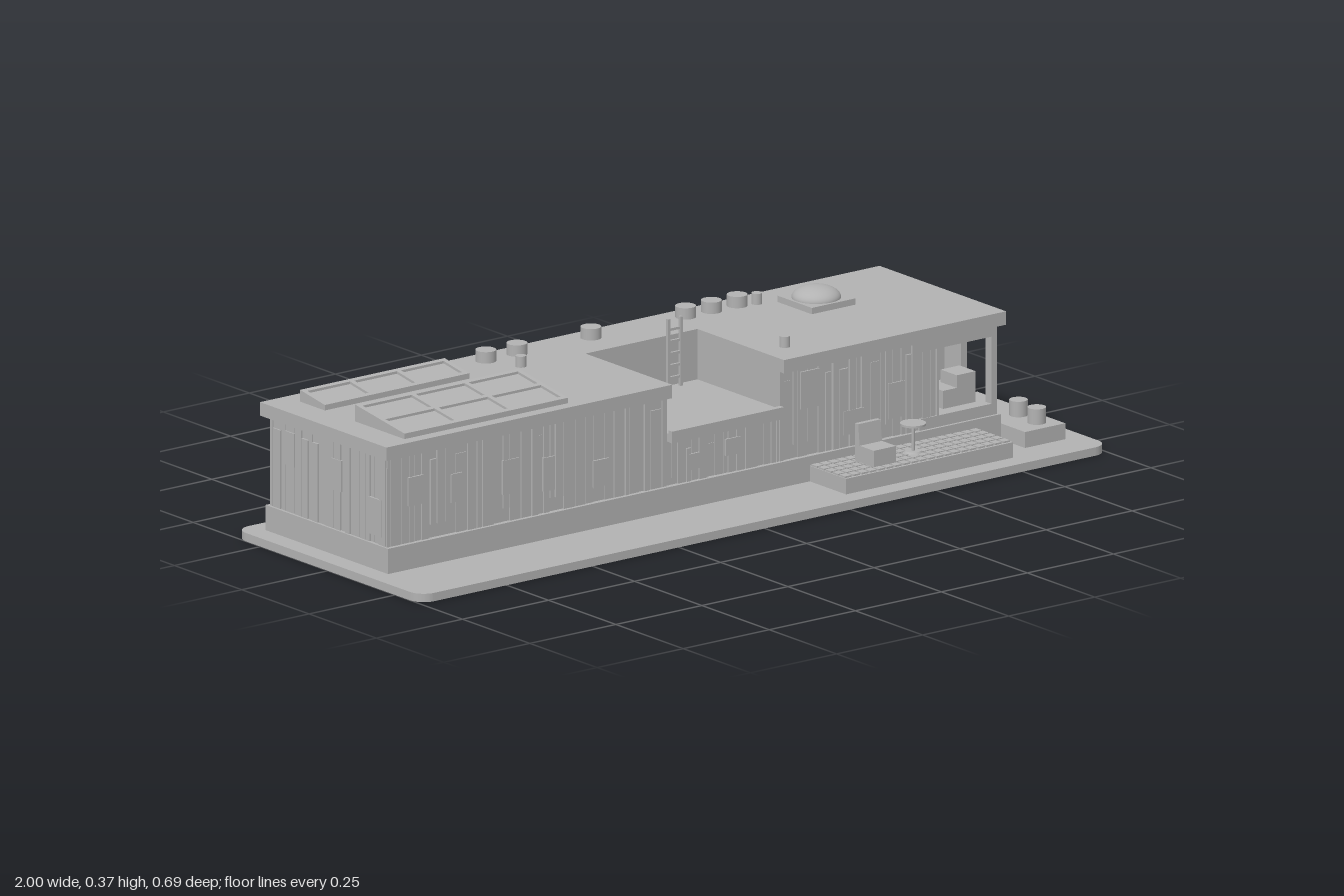
import * as THREE from 'three';
import { mergeGeometries } from 'three/addons/utils/BufferGeometryUtils.js';

const grey = new THREE.MeshStandardMaterial({ color: 0xb2b2b2 });
grey.name = 'plain grey';

// Box given by its limits on each axis
function slab(x0, x1, y0, y1, z0, z1) {
  return new THREE.BoxGeometry(x1 - x0, y1 - y0, z1 - z0)
    .translate((x0 + x1) / 2, (y0 + y1) / 2, (z0 + z1) / 2);
}

function drum(x, z, r, y0, y1, r2 = r) {
  return new THREE.CylinderGeometry(r2, r, y1 - y0, 28).translate(x, (y0 + y1) / 2, z);
}

// Flat outline in plan (x, z) raised from y0 to y1
function plan(shape, y0, y1) {
  return new THREE.ExtrudeGeometry(shape, { depth: y1 - y0, bevelEnabled: false, curveSegments: 8 })
    .rotateX(-Math.PI / 2).translate(0, y0, 0);
}

function seeded(seed) {
  return () => (seed = (seed * 16807) % 2147483647) / 2147483647;
}

export function createModel() {
  const model = new THREE.Group();
  model.name = 'longHouse';
  const add = (name, ...geos) => {
    const flat = geos.map(g => (g.index ? g.toNonIndexed() : g));
    const mesh = new THREE.Mesh(flat.length > 1 ? mergeGeometries(flat) : flat[0], grey);
    mesh.name = name;
    model.add(mesh);
    return mesh;
  };

  // Ground plate with rounded corners
  const W = 1, D = 0.345, R = 0.04;
  const plate = new THREE.Shape();
  plate.moveTo(-W + R, -D);
  plate.lineTo(W - R, -D);
  plate.absarc(W - R, -D + R, R, -Math.PI / 2, 0);
  plate.absarc(W - R, D - R, R, 0, Math.PI / 2);
  plate.absarc(-W + R, D - R, R, Math.PI / 2, Math.PI);
  plate.absarc(-W + R, -D + R, R, Math.PI, Math.PI * 1.5);
  add('groundPlate', plan(plate, 0, 0.02));

  // Plinth and wall cores, leaving the terrace and the corner room open
  add('plinth', slab(-0.95, 0.83, 0.02, 0.08, -0.295, 0.16));
  add('walls',
    slab(-0.94, -0.13, 0.08, 0.293, -0.283, 0.147),
    slab(-0.13, 0.195, 0.08, 0.293, -0.283, -0.155),
    slab(-0.13, 0.195, 0.08, 0.185, -0.155, 0.147),
    slab(0.195, 0.6, 0.08, 0.293, -0.283, 0.147),
    slab(0.6, 0.82, 0.08, 0.293, -0.283, -0.02));
  add('cornerRoom',
    slab(0.6, 0.825, 0.08, 0.107, -0.02, 0.153),
    slab(0.6, 0.825, 0.267, 0.293, -0.02, 0.153),
    slab(0.6, 0.66, 0.107, 0.267, 0.135, 0.147),
    slab(0.808, 0.82, 0.107, 0.267, -0.02, 0.04),
    slab(0.808, 0.825, 0.107, 0.267, 0.132, 0.153));
  add('roomSeat',
    slab(0.735, 0.79, 0.107, 0.18, 0.058, 0.118),
    slab(0.695, 0.735, 0.107, 0.15, 0.042, 0.118),
    slab(0.735, 0.79, 0.107, 0.15, 0.042, 0.058));

  // Roof with a notch over the terrace (shape y is -z)
  const roof = new THREE.Shape([
    [-0.96, -0.167], [-0.13, -0.167], [-0.13, 0.155], [0.195, 0.155],
    [0.195, -0.167], [0.84, -0.167], [0.84, 0.303], [-0.96, 0.303],
  ].map(p => new THREE.Vector2(...p)));
  add('roof', plan(roof, 0.293, 0.325));
  add('terrace',
    slab(-0.13, 0.195, 0.185, 0.205, -0.155, 0.167),
    slab(-0.13, 0.195, 0.205, 0.213, 0.153, 0.167));

  // Cladding: uneven vertical boards with scattered window panels.
  // Local x runs along the wall, local z points outwards.
  const clad = (name, from, to, y0, y1, face, turn, seed) => {
    const rnd = seeded(seed), parts = [];
    let x = from;
    while (x < to - 0.006) {
      const w = Math.min(0.012 + rnd() * 0.022, to - x);
      const depth = 0.001 + rnd() * 0.005;
      const low = rnd() < 0.2 ? y0 + (y1 - y0) * 0.15 : y0;
      const high = rnd() < 0.2 ? y1 - 0.026 : y1;
      parts.push(slab(x, x + w - 0.003, low, high, face - 0.002, face + depth));
      x += w;
    }
    for (let p = from + 0.06; p < to - 0.07; p += 0.1 + rnd() * 0.08) {
      const h = (y1 - y0) * (0.22 + rnd() * 0.2);
      const y = y0 + 0.01 + rnd() * (y1 - y0 - h - 0.02);
      const w = 0.03 + rnd() * 0.03;
      parts.push(slab(p, p + w, y, y + h, face - 0.002, face + 0.0065));
    }
    add(name, ...parts).rotation.y = turn;
  };
  clad('frontCladdingRight', -0.945, -0.13, 0.08, 0.293, 0.147, 0, 11);
  clad('terraceCladding', -0.13, 0.195, 0.08, 0.185, 0.147, 0, 23);
  clad('frontCladdingLeft', 0.195, 0.66, 0.08, 0.293, 0.147, 0, 37);
  clad('backCladding', -0.825, 0.945, 0.08, 0.293, 0.283, Math.PI, 53);
  clad('rightEndCladding', -0.288, 0.153, 0.08, 0.293, 0.94, -Math.PI / 2, 71);
  clad('leftEndCladding', -0.04, 0.045, 0.08, 0.293, 0.82, Math.PI / 2, 83);
  clad('leftEndCladdingBack', 0.125, 0.288, 0.08, 0.293, 0.82, Math.PI / 2, 97);
  add('sideDoor',
    slab(0.82, 0.822, 0.085, 0.267, -0.125, -0.045),
    slab(0.82, 0.825, 0.267, 0.293, -0.125, -0.045));

  // Roof ladder
  const rungs = [];
  for (let i = 0; i < 5; i++) rungs.push(slab(0.1, 0.135, 0.225 + i * 0.029, 0.231 + i * 0.029, -0.143, -0.137));
  add('ladder', slab(0.095, 0.102, 0.205, 0.37, -0.144, -0.136),
    slab(0.131, 0.138, 0.205, 0.37, -0.144, -0.136), ...rungs);

  // Roof vents and pipes
  for (const x of [-0.345, -0.255, -0.04, 0.235, 0.31, 0.385]) add('roofVent', drum(x, -0.25, 0.024, 0.325, 0.352));
  for (const [x, z] of [[0.43, -0.235], [-0.31, -0.165], [0.265, 0.08]]) add('roofPipe', drum(x, z, 0.0125, 0.325, 0.351));

  // Domed skylight
  add('skylightBase', slab(0.475, 0.602, 0.325, 0.34, -0.216, -0.088));
  const dome = add('skylightDome', new THREE.SphereGeometry(0.057, 40, 14, 0, Math.PI * 2, 0, Math.PI / 2));
  dome.scale.y = 0.5;
  dome.position.set(0.538, 0.34, -0.152);

  // Solar arrays: sloped wedge with a raised frame grid
  const solar = (x0, x1, zf, zb, yf, yb, cols, rows) => {
    const side = new THREE.Shape([[-zf, 0.325], [-zb, 0.325], [-zb, yb - 0.006], [-zf, yf - 0.006]]
      .map(p => new THREE.Vector2(...p)));
    const body = new THREE.ExtrudeGeometry(side, { depth: x1 - x0, bevelEnabled: false })
      .rotateY(Math.PI / 2).scale(1, 1, 1).translate(x0, 0, 0);
    const bars = [], t = 0.012;
    for (let i = 0; i <= cols; i++) {
      const x = x0 + (x1 - x0 - t) * i / cols;
      bars.push(slab(x, x + t, 0, 0.006, zb, zf));
    }
    for (let j = 0; j <= rows; j++) {
      const z = zb + (zf - zb - t) * j / rows;
      bars.push(slab(x0, x1, 0, 0.006, z, z + t));
    }
    // Lift every bar onto the slope
    for (const b of bars) {
      const p = b.attributes.position;
      for (let i = 0; i < p.count; i++) {
        p.setY(i, p.getY(i) + yb - 0.006 + (yf - yb) * (p.getZ(i) - zb) / (zf - zb));
      }
      b.computeVertexNormals();
    }
    add('solarBody', body);
    add('solarFrame', ...bars);
  };
  solar(-0.885, -0.41, 0.138, -0.045, 0.338, 0.365, 3, 2);
  solar(-0.885, -0.465, -0.158, -0.25, 0.338, 0.353, 3, 1);

  // Front deck with paving tiles
  add('deck', slab(0.275, 0.76, 0.02, 0.057, 0.16, 0.295));
  const tiles = [];
  for (let i = 0; i < 20; i++) {
    for (let j = 0; j < 5; j++) {
      const x = 0.277 + i * 0.0242, z = 0.163 + j * 0.0262;
      tiles.push(slab(x, x + 0.019, 0.056, 0.061, z, z + 0.021));
    }
  }
  add('deckTiles', ...tiles);

  // Lounge chair with a leaning back
  add('chairSeat', slab(0.375, 0.44, 0.06, 0.1, 0.215, 0.27));
  const back = new THREE.Shape([[-0.222, 0.06], [-0.2, 0.06], [-0.2, 0.15], [-0.212, 0.15]]
    .map(p => new THREE.Vector2(...p)));
  add('chairBack', new THREE.ExtrudeGeometry(back, { depth: 0.065, bevelEnabled: false })
    .rotateY(Math.PI / 2).translate(0.375, 0, 0));

  // Round table
  add('table', drum(0.522, 0.228, 0.03, 0.126, 0.131), drum(0.522, 0.228, 0.004, 0.06, 0.126),
    drum(0.522, 0.228, 0.022, 0.06, 0.065, 0.018));

  // Side step with two planters
  add('sideStep', slab(0.83, 0.947, 0.02, 0.058, -0.077, 0.25));
  for (const [x, z] of [[0.905, 0.13], [0.9, 0.204]]) add('planter', drum(x, z, 0.0215, 0.058, 0.095));

  return model;
}
